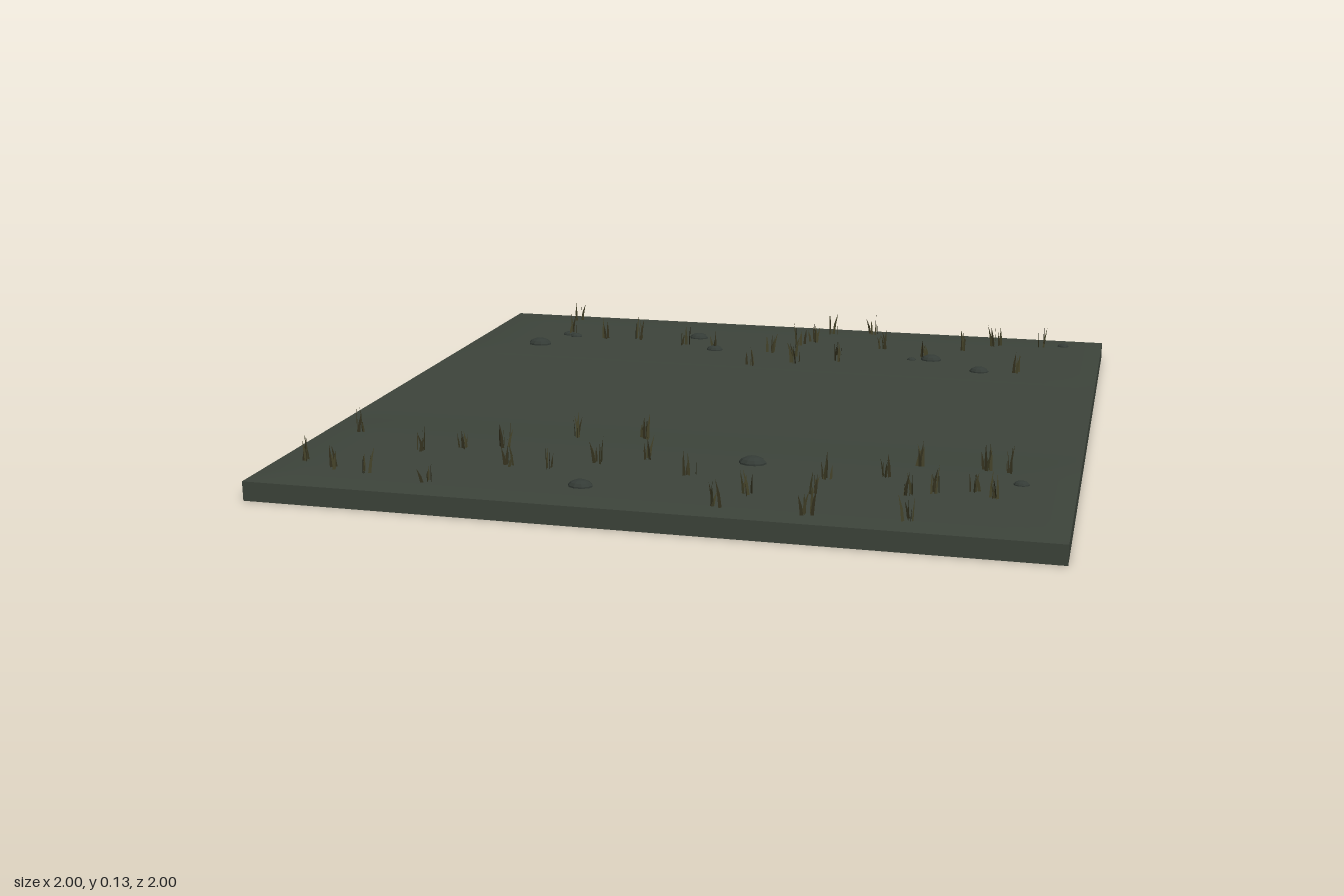
import * as THREE from 'three';

const mat = (name, color, side = THREE.FrontSide) => {
  const m = new THREE.MeshStandardMaterial({ color, side });
  m.name = name;
  return m;
};

// Small seeded generator for repeatable variation
let seed = 7;
const rand = (a, b) => {
  seed = (seed * 16807) % 2147483647;
  return a + (b - a) * (seed / 2147483647);
};

// Gentle raised verges on both sides of a flat central strip
const rise = (x, z) =>
  0.005 * THREE.MathUtils.smoothstep(Math.abs(z), 0.33, 0.5) *
  (1 - THREE.MathUtils.smoothstep(Math.max(Math.abs(x), Math.abs(z)), 0.92, 1));

// Stones: x, z, radius
const STONES = [
  [-0.77, -0.55, 0.037], [-0.72, -0.7, 0.02], [-0.69, -0.68, 0.02], [-0.29, -0.75, 0.03],
  [-0.2, -0.6, 0.026], [0.43, -0.61, 0.014], [0.49, -0.62, 0.032], [0.65, -0.505, 0.029],
  [0.88, -0.9, 0.018], [0.19, 0.58, 0.036], [0.865, 0.605, 0.02], [-0.175, 0.86, 0.032],
];

// Grass tufts: x, z
const BACK_TUFTS = [
  [-0.76, -0.92], [-0.71, -0.7], [-0.59, -0.68], [-0.48, -0.69], [-0.31, -0.64], [-0.21, -0.61],
  [-0.05, -0.44], [-0.02, -0.61], [0.06, -0.58], [0.05, -0.73], [0.09, -0.78], [0.13, -0.91],
  [0.26, -0.94], [0.2, -0.62], [0.32, -0.74], [0.46, -0.65], [0.57, -0.77], [0.67, -0.86],
  [0.81, -0.88], [0.76, -0.52], [0.21, -0.53], [0.08, -0.49],
];
const FRONT_TUFTS = [
  [-0.93, 0.81], [-0.82, 0.86], [-0.73, 0.88], [-0.9, 0.55], [-0.67, 0.67], [-0.55, 0.91],
  [-0.57, 0.62], [-0.47, 0.59], [-0.4, 0.74], [-0.29, 0.74], [-0.19, 0.67], [-0.32, 0.45],
  [-0.08, 0.6], [-0.14, 0.42], [0.06, 0.71], [0.18, 0.93], [0.23, 0.83], [0.38, 0.78],
  [0.4, 0.66], [0.54, 0.61], [0.6, 0.5], [0.61, 0.75], [0.67, 0.71], [0.76, 0.69],
  [0.77, 0.51], [0.82, 0.51], [0.63, 0.93], [0.4, 0.94], [0.81, 0.72],
];

// Tapered blades, each leaning only within its own upright plane
function bladeGeometry(x, z, count) {
  const pos = [];
  for (let i = 0; i < count; i++) {
    const a = rand(0, Math.PI * 2), c = Math.cos(a), s = Math.sin(a);
    const bx = x + rand(-0.014, 0.014), bz = z + rand(-0.014, 0.014);
    const h = rand(0.04, 0.078), lean = rand(-0.016, 0.016), w = 0.0042;
    const p = (u, y) => [bx + c * u, 0.05 + y, bz + s * u];
    const bl = p(-w, 0), br = p(w, 0);
    const ml = p(lean * 0.35 - w * 0.8, h * 0.5), mr = p(lean * 0.35 + w * 0.8, h * 0.5);
    const tip = p(lean, h);
    pos.push(...bl, ...br, ...mr, ...bl, ...mr, ...ml, ...ml, ...mr, ...tip);
  }
  const g = new THREE.BufferGeometry();
  g.setAttribute('position', new THREE.Float32BufferAttribute(pos, 3));
  g.computeVertexNormals();
  return g;
}

export function createModel() {
  const model = new THREE.Group();
  model.name = 'grassTile';
  const soil = mat('mossy soil', 0x3d443b);
  const rock = mat('dark stone', 0x343b36);
  rock.flatShading = true;
  const olive = mat('olive grass', 0x45432a, THREE.DoubleSide);
  const dry = mat('dark dry grass', 0x35321f, THREE.DoubleSide);

  const add = (parent, name, geo, material) => {
    const mesh = new THREE.Mesh(geo, material);
    mesh.name = name;
    parent.add(mesh);
    return mesh;
  };

  // Ground slab with slightly raised verges
  const slab = new THREE.BoxGeometry(2, 0.05, 2, 40, 1, 40).translate(0, 0.025, 0);
  const p = slab.attributes.position;
  for (let i = 0; i < p.count; i++) {
    if (p.getY(i) > 0.04) p.setY(i, 0.05 + rise(p.getX(i), p.getZ(i)));
  }
  slab.computeVertexNormals();
  add(model, 'ground', slab, soil);

  // Flattened half-buried stones
  const stones = new THREE.Group();
  stones.name = 'stones';
  model.add(stones);
  const stoneGeo = new THREE.SphereGeometry(1, 10, 7);
  for (const [x, z, r] of STONES) {
    const stone = add(stones, 'stone', stoneGeo, rock);
    stone.position.set(x, 0.05 + rise(x, z), z);
    stone.scale.set(r, r * 0.55, r * 0.72);
  }

  // Grass tufts on both verges
  for (const [name, tufts] of [['backGrass', BACK_TUFTS], ['frontGrass', FRONT_TUFTS]]) {
    const verge = new THREE.Group();
    verge.name = name;
    model.add(verge);
    for (const [x, z] of tufts) {
      add(verge, 'oliveBlades', bladeGeometry(x, z, 3), olive);
      add(verge, 'dryBlades', bladeGeometry(x, z, 2), dry);
    }
  }
  return model;
}
